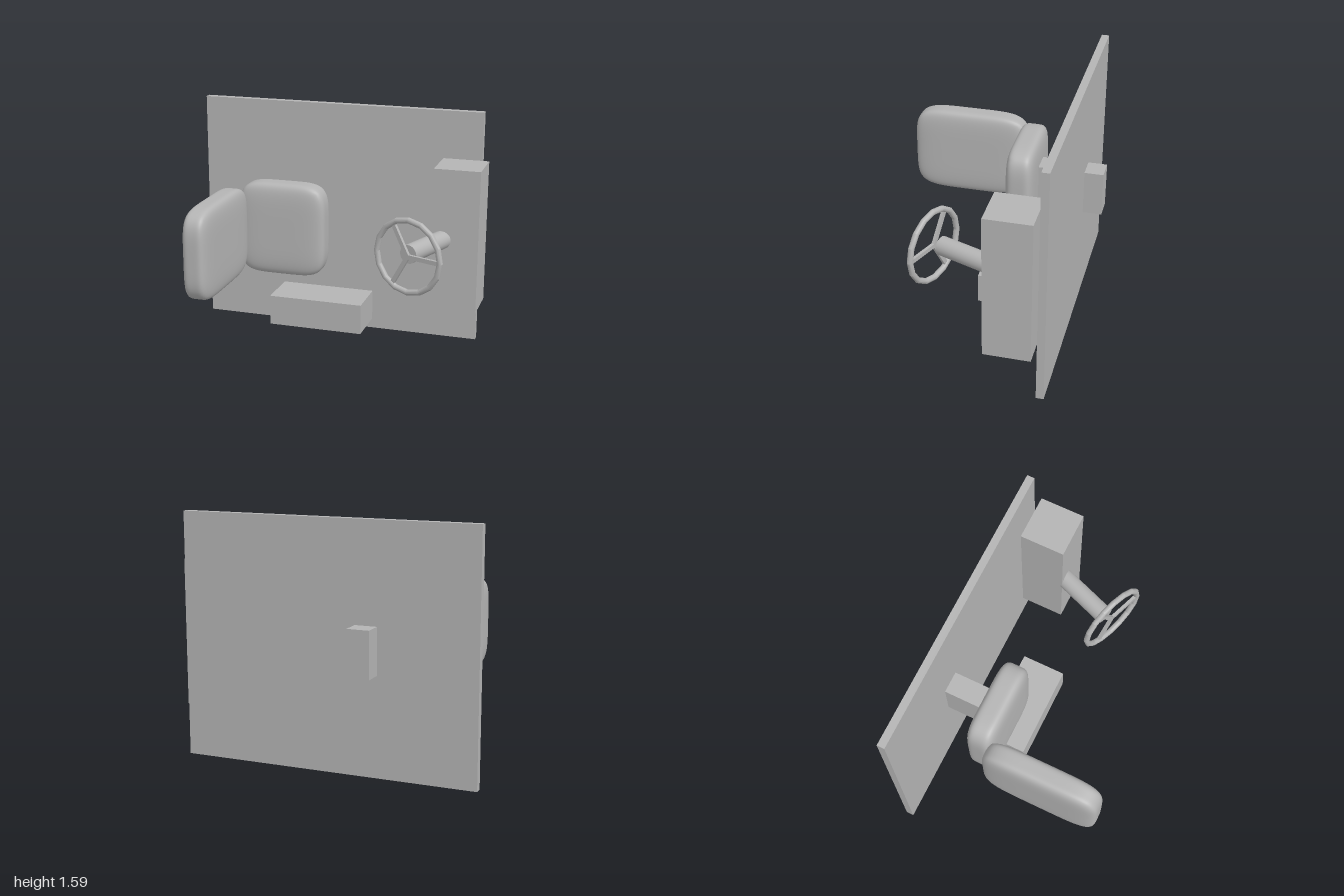
import * as THREE from 'three';
import { mergeVertices, toCreasedNormals } from 'three/addons/utils/BufferGeometryUtils.js';

const gray = new THREE.MeshStandardMaterial({ color: 0xb4b4b4 });
gray.name = 'plain gray';

function add(parent, name, geometry) {
  const mesh = new THREE.Mesh(geometry, gray);
  mesh.name = name;
  parent.add(mesh);
  return mesh;
}

// Box given by its lower and upper corners
function block(parent, name, lo, hi) {
  const size = hi.map((v, i) => v - lo[i]);
  const mesh = add(parent, name, new THREE.BoxGeometry(...size));
  mesh.position.set(...hi.map((v, i) => (v + lo[i]) / 2));
  return mesh;
}

// Pillow shape: a cube grid pulled onto a superellipsoid
function cushion(parent, name, lo, hi, power = 5) {
  let geo = new THREE.BoxGeometry(2, 2, 2, 20, 20, 20);
  const half = hi.map((v, i) => (v - lo[i]) / 2);
  const pos = geo.attributes.position;
  const p = new THREE.Vector3();
  for (let i = 0; i < pos.count; i++) {
    p.fromBufferAttribute(pos, i);
    const norm = p.toArray().reduce((s, v) => s + Math.abs(v) ** power, 0) ** (1 / power);
    p.divideScalar(norm);
    pos.setXYZ(i, p.x * half[0], p.y * half[1], p.z * half[2]);
  }
  geo.deleteAttribute('normal');
  geo.deleteAttribute('uv');
  geo = mergeVertices(geo, 1e-5);
  geo.computeVertexNormals();
  const mesh = add(parent, name, geo);
  mesh.position.set(...hi.map((v, i) => (v + lo[i]) / 2));
  return mesh;
}

export function createModel() {
  const model = new THREE.Group();
  model.name = 'drivingRig';

  // Floor panel standing upright, with the blocks fixed to it
  block(model, 'floorPanel', [-1, 0, -0.57], [0.95, 1.585, -0.52]);
  block(model, 'dashboard', [0.695, 0.315, -0.495], [1, 1.27, -0.195]);
  block(model, 'sideBox', [-0.35, 0.165, -0.28], [0.28, 0.365, 0.02]);
  block(model, 'seatPost', [-0.36, 0.645, -0.695], [-0.215, 0.945, -0.2]);

  // Seat
  cushion(model, 'seatCushion', [-0.61, 0.48, -0.265], [-0.01, 1.11, -0.07]);
  cushion(model, 'seatBack', [-0.7, 0.495, -0.11], [-0.525, 1.097, 0.687]);

  // Steering wheel, turned about the vertical axis
  const steering = new THREE.Group();
  steering.name = 'steering';
  steering.position.set(0.632, 0.797, 0.203);
  steering.rotation.y = -THREE.MathUtils.degToRad(20.5);
  model.add(steering);

  const radius = 0.235;
  add(steering, 'wheelRim', toCreasedNormals(new THREE.TorusGeometry(radius, 0.019, 24, 16), 0.35));
  for (let i = 0; i < 3; i++) {
    const spoke = add(steering, 'spoke', new THREE.BoxGeometry(radius, 0.028, 0.02));
    const a = (i * Math.PI * 2) / 3;
    spoke.position.set(Math.cos(a) * radius / 2, Math.sin(a) * radius / 2, 0);
    spoke.rotation.z = a;
  }

  // Column running from behind the wheel into the dashboard
  const length = 0.42;
  const columnGeo = toCreasedNormals(new THREE.CylinderGeometry(0.061, 0.061, length, 32), 0.6);
  const column = add(steering, 'steeringColumn', columnGeo);
  column.rotation.x = Math.PI / 2;
  column.position.set(-0.024, 0, -0.04 - length / 2);

  return model;
}
